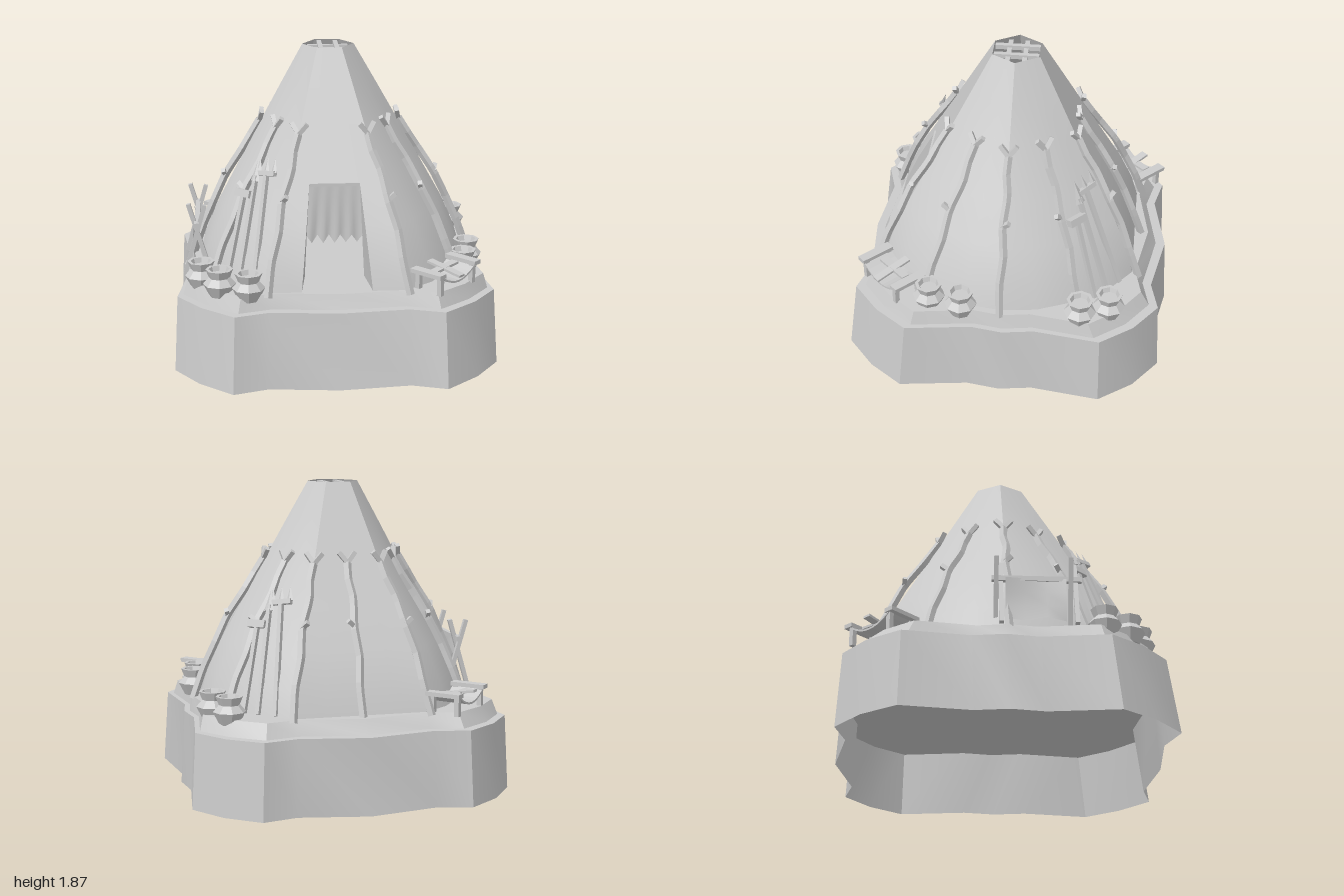
import * as THREE from 'three';
import { toCreasedNormals } from 'three/addons/utils/BufferGeometryUtils.js';

const V = (x, y, z) => new THREE.Vector3(x, y, z);
const grey = new THREE.MeshStandardMaterial({ color: 0xcccccc, side: THREE.DoubleSide });
const flat = new THREE.MeshStandardMaterial({ color: 0xcccccc, side: THREE.DoubleSide, flatShading: true });

function add(parent, name, geometry, material = flat) {
  const mesh = new THREE.Mesh(geometry, material);
  mesh.name = name;
  parent.add(mesh);
  return mesh;
}

function group(parent, name) {
  const g = new THREE.Group();
  g.name = name;
  parent.add(g);
  return g;
}

// Skin over rows of points, each row listed from +x towards +z, rows going up
function loft(rows, closed = false) {
  const n = rows[0].length, index = [];
  for (let i = 0; i < rows.length - 1; i++) {
    for (let j = 0; j < (closed ? n : n - 1); j++) {
      const k = (j + 1) % n;
      const a = i * n + j, b = i * n + k, c = (i + 1) * n + k, d = (i + 1) * n + j;
      index.push(a, c, b, a, d, c);
    }
  }
  const g = new THREE.BufferGeometry().setFromPoints(rows.flat());
  g.setIndex(index);
  g.computeVertexNormals();
  return g;
}

// Square bar between two points
function beam(parent, name, a, b, w, d = w) {
  const dir = b.clone().sub(a);
  const m = add(parent, name, new THREE.BoxGeometry(w, dir.length(), d));
  m.position.copy(a).add(b).multiplyScalar(0.5);
  m.quaternion.setFromUnitVectors(V(0, 1, 0), dir.normalize());
  return m;
}

// Tent shape: radius by height, six corners with bulging side panels
const profile = [[0.54, 0.865], [0.7, 0.815], [0.9, 0.72], [1.13, 0.585], [1.45, 0.4], [1.65, 0.285], [1.87, 0.158]];
const heights = profile.map(p => p[0]);
const corners = [[1, 0], [0.48, 0.9], [-0.48, 0.9], [-1, 0], [-0.48, -0.9], [0.48, -0.9]];

function radius(y) {
  let i = 0;
  while (i < profile.length - 2 && y > profile[i + 1][0]) i++;
  const [y0, r0] = profile[i], [y1, r1] = profile[i + 1];
  return r0 + (r1 - r0) * (y - y0) / (y1 - y0);
}

function tentPoint(k, s, y) {
  const r = radius(y), t = (r - 0.158) / 0.7;
  const A = corners[k % 6], B = corners[(k + 1) % 6];
  const bulge = k % 3 === 1 ? 0 : 0.15 * t * 4 * s * (1 - s);
  const at = i => (A[i] * (1 - s) + B[i] * s) * (1 + bulge) * r - 0.016 * (1 - t);
  return V(at(0) * (1 - 0.04 * t), y, at(1));
}

function buildBase(root) {
  // Quarter outline as x, front z, back z
  const q = [[0.955, 0, 0], [0.925, 0.2, 0.2], [0.98, 0.615, 0.615], [0.83, 0.82, 0.82],
    [0.63, 0.99, 0.97], [0.42, 0.925, 0.92], [0, 0.967, 1]];
  const half = i => [...q.map(p => [p[0], p[i]]), ...q.slice(0, -1).reverse().map(p => [-p[0], p[i]])];
  const outline = [...half(1), ...half(2).slice(1, -1).reverse().map(([x, z]) => [x, -z])];
  const ring = ([sx, sz, y, dz]) => outline.map(([x, z]) => V(x * sx, y, z * sz + dz));
  const wall = [[1, 1, 0, 0], [0.975, 0.957, 0.458, -0.019], [0.94, 0.9, 0.458, -0.018],
    [0.915, 0.855, 0.545, -0.009], [0, 0, 0.545, 0]];
  add(root, 'stoneBase', toCreasedNormals(loft(wall.map(ring), true), 0.6), grey);
  add(root, 'baseUnderside', loft([[0.975, 0.958, 0.41, -0.017], [0, 0, 0.41, 0]].map(ring), true));
}

function buildTent(root) {
  const tent = group(root, 'tent');
  const cols = [0, 0.25, 0.5, 0.75, 1];
  for (let k = 0; k < 6; k++) {
    const ys = k === 1 ? heights.slice(3) : heights;
    add(tent, 'tentPanel', loft(ys.map(y => cols.map(s => tentPoint(k, s, y)))), grey);
  }
  // Front panel beside the doorway, with the recess walls
  const door = y => 0.21 - 0.06 * (y - 0.54) / 0.59;
  const zBack = tentPoint(1, 0, 1.13).z - 0.005;
  for (const side of [1, -1]) {
    const ordered = row => (side > 0 ? row : row.reverse());
    const ys = heights.slice(0, 4);
    add(tent, 'frontPanel', loft(ys.map(y => {
      const c = tentPoint(1, side > 0 ? 0 : 1, y);
      return ordered([c, V(side * door(y) - 0.01, y, c.z)]);
    })), grey);
    add(tent, 'doorwayWall', loft(ys.map(y => ordered([
      V(side * door(y) - 0.01, y, tentPoint(1, 0, y).z),
      V(side * (0.15 + 0.03 * (1.13 - y) / 0.59) - 0.01, y, zBack)]))), grey);
  }
  // Pleated door curtain with a zigzag hem
  const cloth = new THREE.PlaneGeometry(1, 1, 20, 4), p = cloth.attributes.position;
  for (let i = 0; i < p.count; i++) {
    const u = p.getX(i), v = 0.5 - p.getY(i), col = Math.round((u + 0.5) * 20);
    const hem = 0.76 + 0.05 * Math.abs((col % 4) - 2) / 2;
    p.setXYZ(i, u * (0.3 + 0.04 * v) - 0.01, 1.13 + (hem - 1.13) * v, 0.515 + 0.008 * v * Math.sin(col * 1.3));
  }
  cloth.computeVertexNormals();
  add(tent, 'doorCurtain', cloth, grey);
  beam(tent, 'doorLintel', V(-0.155, 1.125, 0.52), V(0.135, 1.125, 0.52), 0.018);
  // Smoke hole lattice
  for (const o of [-0.05, 0.05]) {
    beam(tent, 'latticeBar', V(o - 0.016, 1.852, -0.15), V(o - 0.016, 1.852, 0.12), 0.028);
    beam(tent, 'latticeBar', V(-0.14, 1.84, o - 0.016), V(0.108, 1.84, o - 0.016), 0.028);
  }
}

// Crooked forked poles around the tent, leaving the doorway free
function buildPoles(root) {
  const ys = [0.53, 0.72, 0.88, 1.05, 1.2, 1.31, 1.4];
  const wiggle = [0, 0.008, -0.008, 0.008, -0.01, 0.006, 0];
  const lift = [0.04, 0.03, 0.03, 0.04, 0.025, 0.015, 0.01];
  for (let n = 0; n < 12; n++) {
    if (n === 3) continue;
    const pole = group(root, 'forkedPole');
    const at = y => tentPoint(n >> 1, (n % 2) / 2, y);
    const out = at(0.54).setY(0).normalize(), side = V(-out.z, 0, out.x);
    const pts = ys.map((y, i) => at(y).addScaledVector(out, lift[i]).addScaledVector(side, wiggle[i]));
    add(pole, 'poleShaft', new THREE.TubeGeometry(new THREE.CatmullRomCurve3(pts, false, 'catmullrom', 0.1), 18, 0.024, 4));
    const branch = (from, s, up, o) =>
      beam(pole, 'poleBranch', from, from.clone().addScaledVector(side, s).addScaledVector(out, o).add(V(0, up, 0)), 0.027);
    branch(pts[6], 0.05, 0.062, -0.015);
    branch(pts[6], -0.05, 0.062, -0.015);
    branch(pts[3], n % 2 ? 0.04 : -0.04, 0.035, 0.015);
  }
}

function buildPots(root) {
  const prof = [[0, 0], [0.06, 0], [0.098, 0.075], [0.062, 0.115], [0.082, 0.165], [0.062, 0.165], [0.052, 0.135], [0, 0.135]];
  const geo = new THREE.LatheGeometry(prof.map(([x, y]) => new THREE.Vector2(x, y)), 8);
  for (const [x, z] of [[0.76, -0.65], [0.83, -0.48], [0.83, 0.24], [0.78, 0.44], [-0.81, 0.55], [-0.7, 0.7], [-0.53, 0.785]])
    add(root, 'clayPot', geo).position.set(x, 0.51, z);
}

// Low stretching bench: end boards on legs with a sagging hide
function buildBench(root, x, z) {
  const bench = group(root, 'hideBench');
  bench.position.set(x, 0.54, z);
  bench.rotation.y = Math.PI / 4;
  for (const e of [-1, 1]) {
    add(bench, 'endBoard', new THREE.BoxGeometry(0.06, 0.025, 0.22)).position.set(e * 0.17, 0.12, 0);
    for (const s of [-1, 1])
      add(bench, 'benchLeg', new THREE.BoxGeometry(0.03, 0.12, 0.03)).position.set(e * 0.155, 0.055, s * 0.08);
  }
  const sag = new THREE.BoxGeometry(0.36, 0.012, 0.2, 10, 1, 1), p = sag.attributes.position;
  for (let i = 0; i < p.count; i++) p.setY(i, p.getY(i) + 0.05 + 0.075 * (p.getX(i) / 0.18) ** 2);
  sag.computeVertexNormals();
  add(bench, 'saggingHide', sag);
  beam(bench, 'looseBoard', V(-0.12, 0.1, -0.02), V(0.12, 0.11, -0.02), 0.015, 0.05);
  beam(bench, 'looseBoard', V(0, 0.085, 0.12), V(0, 0.125, -0.12), 0.05, 0.015);
}

// Trident, spear and hammer leaning on the tent
function buildTools(root, turn) {
  const set = group(root, 'leaningTools');
  set.rotation.y = turn;
  const tool = (name, foot, tip) => {
    const g = group(set, name), dir = tip.clone().sub(foot), len = dir.length();
    g.position.copy(foot);
    g.quaternion.setFromUnitVectors(V(0, 1, 0), dir.normalize());
    g.rotateY(-Math.PI / 4);
    beam(g, name + 'Shaft', V(0, 0, 0), V(0, len - 0.08, 0), 0.026);
    return [g, len];
  };
  const point = (g, x, y, w, h) => {
    const m = add(g, 'bladePoint', new THREE.ConeGeometry(w, h, 4));
    m.position.set(x, y, 0);
    m.scale.z = 0.5;
  };
  const [tri, tl] = tool('trident', V(-0.5, 0.55, 0.7), V(-0.4, 1.27, 0.44));
  beam(tri, 'tridentBar', V(-0.07, tl - 0.09, 0), V(0.07, tl - 0.09, 0), 0.03);
  for (const x of [-0.06, 0, 0.06]) point(tri, x, tl - 0.04, 0.022, 0.09);
  const [spear, sl] = tool('spear', V(-0.59, 0.55, 0.63), V(-0.46, 1.24, 0.41));
  point(spear, 0, sl - 0.05, 0.035, 0.13);
  const [hammer, hl] = tool('hammer', V(-0.66, 0.55, 0.56), V(-0.53, 1.13, 0.41));
  beam(hammer, 'hammerHead', V(-0.06, hl - 0.08, 0), V(0.06, hl - 0.08, 0), 0.045);
}

// Crossed stakes carrying a ridge pole and a hanging hide
function buildDryingRack(root) {
  const rack = group(root, 'dryingRack');
  for (const z of [-0.06, 0.37]) for (const s of [-1, 1])
    beam(rack, 'rackStake', V(-0.835 - s * 0.075, 0.54, z + s * 0.014), V(-0.835 + s * 0.05, 0.97, z + s * 0.014), 0.026);
  beam(rack, 'ridgePole', V(-0.835, 0.85, -0.1), V(-0.835, 0.85, 0.42), 0.03);
  const hide = [0.58, 0.67, 0.76, 0.85].map((y, i) => [0.33, 0.22, 0.1, -0.02].map((z, j) =>
    V(-0.85 - 0.012 * Math.sin(i + j * 1.5), y + (i ? 0 : 0.02 * (j % 2)), z)));
  add(rack, 'hangingHide', loft(hide), grey);
}

export function createModel() {
  const root = new THREE.Group();
  root.name = 'tentOnBase';
  buildBase(root);
  buildTent(root);
  buildPoles(root);
  buildPots(root);
  buildBench(root, 0.64, 0.69);
  buildBench(root, -0.6, -0.73);
  buildTools(root, 0);
  buildTools(root, Math.PI);
  buildDryingRack(root);
  return root;
}
